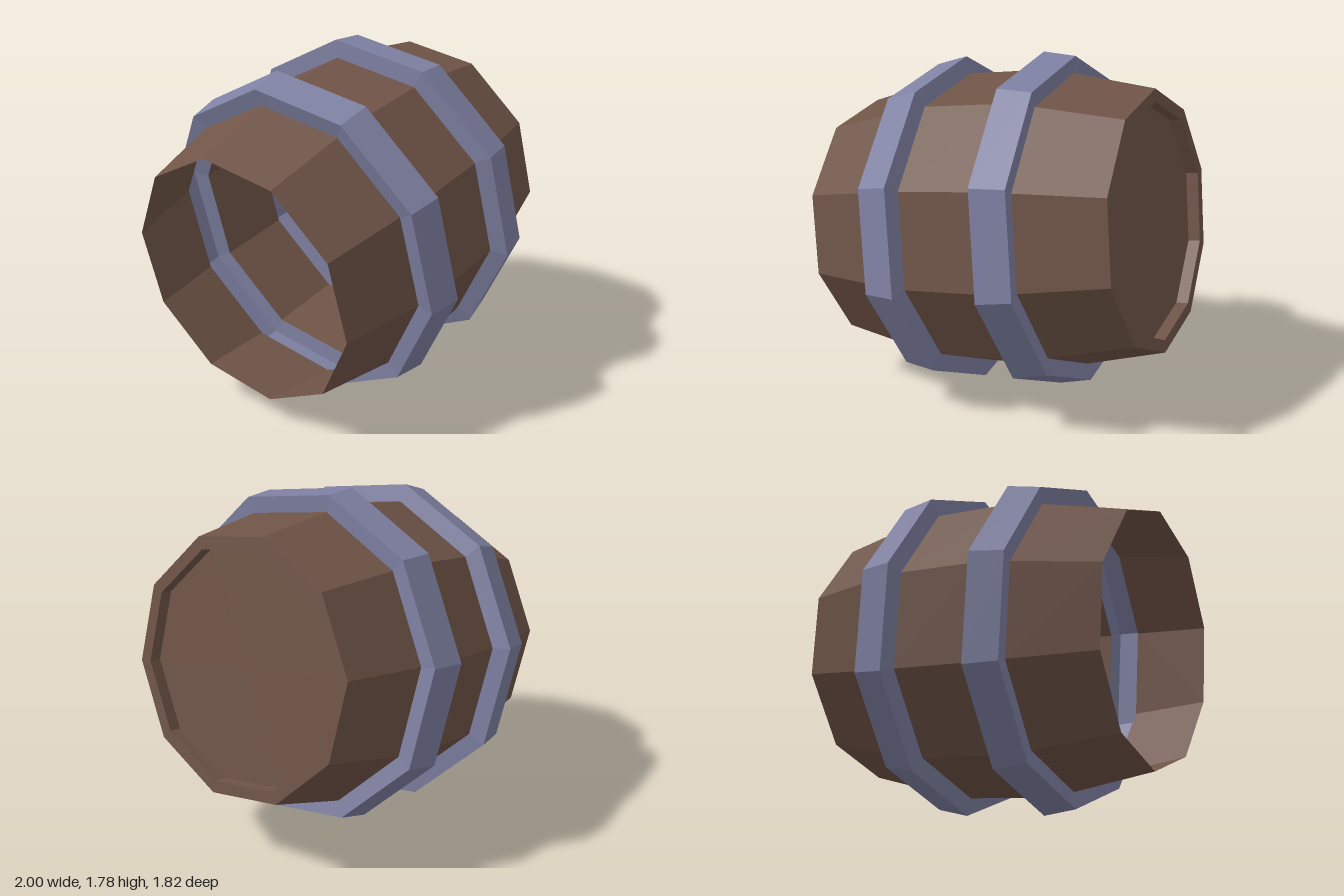
import * as THREE from 'three';

const SIDES = 10;

export function createModel() {
  const make = (name, color) => new THREE.MeshStandardMaterial({ name, color, flatShading: true, side: THREE.DoubleSide });
  const wood = make('brown wood', 0x6f5447);
  const iron = make('blue grey iron', 0x7e80a2);

  const barrel = new THREE.Group();
  barrel.name = 'barrel';

  // Ten-sided ring from a profile of [radius, distance along the axis]
  const ring = (name, profile, material) => {
    const points = profile.map(([r, s]) => new THREE.Vector2(r, s));
    const mesh = new THREE.Mesh(new THREE.LatheGeometry(points, SIDES), material);
    mesh.name = name;
    barrel.add(mesh);
  };
  // Same profile at the other end of the barrel
  const mirror = (profile) => profile.map(([r, s]) => [r, -s]).reverse();

  const taper = [[0.758, 0.395], [0.664, 0.832]];
  const hoop = [[0.784, 0.215], [0.876, 0.232], [0.844, 0.409], [0.758, 0.395]];

  // Staves: straight middle and two tapering ends, hollow inside
  ring('middleStaves', [[0.784, -0.215], [0.784, 0.215]], wood);
  ring('closedEndStaves', taper, wood);
  ring('openEndStaves', mirror(taper), wood);

  // Raised hoops, hollow towards the inside
  ring('closedEndHoop', hoop, iron);
  ring('openEndHoop', mirror(hoop), iron);

  // Rim and recessed head at the closed end
  ring('rim', [[0.664, 0.832], [0.6, 0.832], [0.6, 0.767]], wood);
  ring('head', [[0.6, 0.767], [0, 0.767]], wood);

  // Lay the barrel on its side, slightly tilted and turned
  const axis = new THREE.Vector3(0.943, 0.144, -0.3).normalize();
  const corner = new THREE.Vector3(-0.173, 0.979, -0.105);
  corner.addScaledVector(axis, -corner.dot(axis)).normalize();
  const across = new THREE.Vector3().crossVectors(axis, corner);
  barrel.quaternion.setFromRotationMatrix(new THREE.Matrix4().makeBasis(across, axis, corner));
  barrel.position.y = 0.89;

  const model = new THREE.Group();
  model.name = 'tippedBarrel';
  model.add(barrel);
  return model;
}
